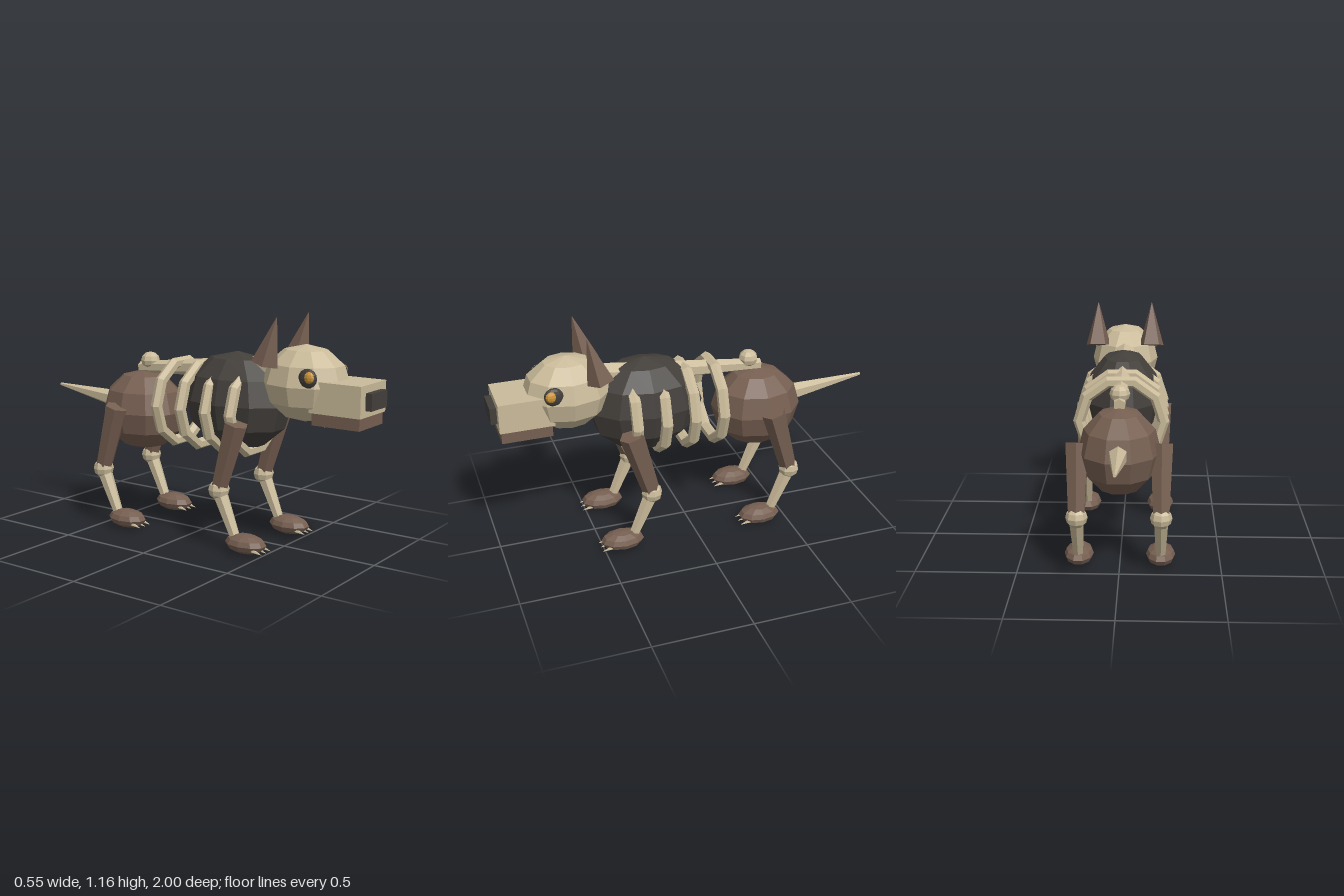
import * as THREE from 'three';

const flat = (name, color) => {
  const m = new THREE.MeshStandardMaterial({ color, flatShading: true });
  m.name = name;
  return m;
};

export function createModel() {
  const bone = flat('bone', 0xcabb9a);
  const hide = flat('brown hide', 0x765f51);
  const dark = flat('charcoal', 0x433f3b);
  const amber = flat('amber', 0xd0983c);

  const model = new THREE.Group();
  model.name = 'boneHound';

  const add = (parent, name, geometry, material, x = 0, y = 0, z = 0) => {
    const mesh = new THREE.Mesh(geometry, material);
    mesh.name = name;
    mesh.position.set(x, y, z);
    parent.add(mesh);
    return mesh;
  };
  // Faceted ellipsoid with radii r = [x, y, z]
  const ball = (parent, name, material, p, r, ws = 10, hs = 6) =>
    add(parent, name, new THREE.SphereGeometry(1, ws, hs).scale(...r), material, ...p);
  const box = (parent, name, material, p, s) =>
    add(parent, name, new THREE.BoxGeometry(...s), material, ...p);
  // Tapered bar running from point a (radius ra) to point b (radius rb)
  const bar = (parent, name, material, a, b, ra, rb, sides = 6) => {
    const from = new THREE.Vector3(...a), to = new THREE.Vector3(...b);
    const dir = to.clone().sub(from);
    const mesh = add(parent, name, new THREE.CylinderGeometry(rb, ra, dir.length(), sides), material);
    mesh.position.copy(from).add(to).multiplyScalar(0.5);
    mesh.quaternion.setFromUnitVectors(new THREE.Vector3(0, 1, 0), dir.normalize());
    return mesh;
  };

  // Body
  ball(model, 'chest', dark, [0, 0.716, 0.213], [0.2, 0.25, 0.3]);
  ball(model, 'pelvis', hide, [0, 0.605, -0.393], [0.2, 0.215, 0.236]);
  bar(model, 'spine', bone, [0, 0.9, 0.42], [0, 0.832, -0.41], 0.06, 0.03);
  ball(model, 'spineKnob', bone, [0, 0.873, -0.347], [0.05, 0.045, 0.05], 8, 6);
  bar(model, 'tail', bone, [0, 0.635, -0.55], [0, 0.681, -1], 0.052, 0.008);

  // Rib hoops
  [0.31, 0.16, 0.01, -0.14].forEach((z) =>
    add(model, 'rib', new THREE.TorusGeometry(0.212, 0.03, 6, 10), bone, 0, 0.678, z));

  // Head
  const head = new THREE.Group();
  head.name = 'head';
  model.add(head);
  ball(head, 'skull', bone, [0, 0.842, 0.608], [0.18, 0.188, 0.223]);
  box(head, 'snout', bone, [0, 0.8, 0.833], [0.25, 0.15, 0.27]);
  box(head, 'jaw', hide, [0, 0.697, 0.835], [0.232, 0.062, 0.25]);
  box(head, 'nose', dark, [0, 0.798, 0.97], [0.154, 0.082, 0.06]);

  for (const s of [1, -1]) {
    ball(head, 'eye', dark, [s * 0.146, 0.89, 0.702], [0.022, 0.047, 0.049], 10, 8);
    ball(head, 'pupil', amber, [s * 0.161, 0.897, 0.718], [0.015, 0.028, 0.027], 8, 6);
    bar(head, 'ear', hide, [s * 0.146, 0.94, 0.47], [s * 0.146, 1.163, 0.53], 0.07, 0.002, 5);
    for (const z of [0.92, 0.76]) {
      bar(head, 'tooth', bone, [s * 0.08, 0.68, z], [s * 0.08, 0.656, z], 0.012, 0.001, 5);
    }
  }

  // Legs: each pair shares one shape, shifted along z
  const addLeg = (name, x, z) => {
    const leg = new THREE.Group();
    leg.name = name;
    leg.position.set(x, 0, z);
    model.add(leg);
    bar(leg, 'upperLeg', hide, [0, 0.645, 0.1], [0, 0.32, 0.005], 0.062, 0.045);
    ball(leg, 'knee', bone, [0, 0.302, 0], [0.054, 0.053, 0.054], 8, 6);
    bar(leg, 'lowerLeg', bone, [0, 0.3, 0], [0, 0.07, 0.1], 0.04, 0.026);
    ball(leg, 'paw', hide, [0, 0.053, 0.16], [0.073, 0.048, 0.112], 10, 6);
    for (const cx of [-0.04, 0, 0.04]) {
      bar(leg, 'claw', bone, [cx, 0.038, 0.225], [cx, 0.026, 0.278], 0.011, 0.001, 5);
    }
  };
  for (const s of [1, -1]) {
    addLeg('frontLeg', s * 0.203, 0.243);
    addLeg('hindLeg', s * 0.203, -0.51);
  }

  return model;
}
